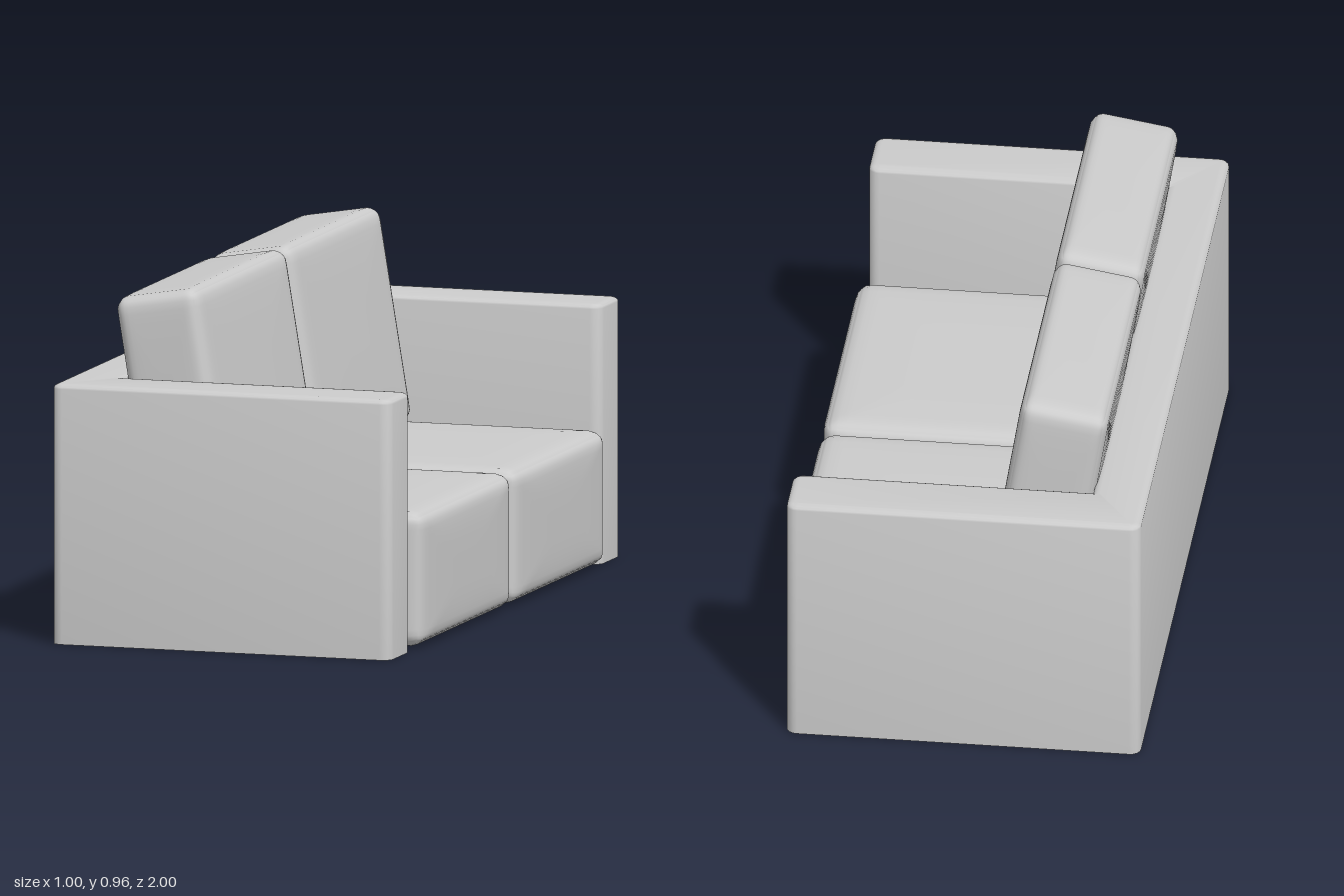
import * as THREE from 'three';
import { mergeVertices, toCreasedNormals } from 'three/addons/utils/BufferGeometryUtils.js';

const material = new THREE.MeshStandardMaterial({ color: 0xcccccc });

function addMesh(parent, name, geometry) {
  const mesh = new THREE.Mesh(geometry, material);
  mesh.name = name;
  parent.add(mesh);
  return mesh;
}

// Soft box: rounded edges of radius r, faces swelling by `bulge` towards their middles
function cushionGeometry(w, h, d, r, bulge) {
  const geo = new THREE.BoxGeometry(2, 2, 2, 22, 22, 22);
  geo.deleteAttribute('uv');
  geo.deleteAttribute('normal');
  const half = new THREE.Vector3(w / 2, h / 2, d / 2);
  const core = half.clone().subScalar(r);
  const low = core.clone().negate();
  const pos = geo.attributes.position;
  const u = new THREE.Vector3();
  for (let i = 0; i < pos.count; i++) {
    u.fromBufferAttribute(pos, i);
    // crowd the grid towards the edges
    u.set(...u.toArray().map((c) => Math.sin((c * Math.PI) / 2)));
    const p = u.clone().multiply(half);
    const inner = p.clone().clamp(low, core);
    p.sub(inner).normalize().multiplyScalar(r).add(inner);
    // sink the borders of each face
    const q = u.clone().multiply(u).multiply(u).multiply(u);
    p.x -= u.x * bulge * Math.max(q.y, q.z);
    p.y -= u.y * bulge * Math.max(q.x, q.z);
    p.z -= u.z * bulge * Math.max(q.x, q.y);
    pos.setXYZ(i, p.x, p.y, p.z);
  }
  const merged = mergeVertices(geo, 1e-5);
  merged.computeVertexNormals();
  return merged;
}

// U-shaped plan with rounded corners, extruded upwards
function frameGeometry() {
  const bevel = 0.02, lift = 0.013, height = 0.712, round = 0.012;
  const back = -0.5 + bevel, front = 0.466 - bevel;
  const outer = 1 - bevel, inner = 0.82 + bevel, innerBack = -0.35 - bevel;
  const corners = [
    [back, -outer], [front, -outer], [front, -inner], [innerBack, -inner],
    [innerBack, inner], [front, inner], [front, outer], [back, outer],
  ].map(([x, y]) => new THREE.Vector2(x, y));
  const shape = new THREE.Shape();
  corners.forEach((c, i) => {
    const prev = corners[(i + 7) % 8], next = corners[(i + 1) % 8];
    const a = c.clone().add(prev.clone().sub(c).setLength(round));
    const b = c.clone().add(next.clone().sub(c).setLength(round));
    if (i === 0) shape.moveTo(a.x, a.y);
    else shape.lineTo(a.x, a.y);
    shape.quadraticCurveTo(c.x, c.y, b.x, b.y);
  });
  shape.closePath();
  const geo = new THREE.ExtrudeGeometry(shape, {
    depth: height - 2 * lift, bevelEnabled: true, bevelSize: bevel,
    bevelThickness: lift, bevelSegments: 4, curveSegments: 4,
  });
  geo.rotateX(-Math.PI / 2).translate(0, lift, 0);
  // flatten the lower bevel so the base edge is crisp
  const pos = geo.attributes.position;
  for (let i = 0; i < pos.count; i++) {
    if (pos.getY(i) < lift + 1e-4) pos.setY(i, 0);
  }
  geo.deleteAttribute('uv');
  geo.deleteAttribute('normal');
  return toCreasedNormals(geo, 0.7);
}

export function createModel() {
  const sofa = new THREE.Group();
  sofa.name = 'sofa';

  // Arms and back panel in one piece
  addMesh(sofa, 'frame', frameGeometry());

  // Two seat cushions and two leaning back cushions
  const width = 0.812;
  const seat = cushionGeometry(0.853, 0.382, width, 0.035, 0.01);
  const backrest = cushionGeometry(0.25, 0.6, width, 0.035, 0.006);
  for (const [side, s] of [['left', 1], ['right', -1]]) {
    const z = (s * width) / 2;
    addMesh(sofa, side + 'SeatCushion', seat).position.set(0.071, 0.191, z);
    const cushion = addMesh(sofa, side + 'BackCushion', backrest);
    cushion.position.set(-0.223, 0.649, z);
    cushion.rotation.z = THREE.MathUtils.degToRad(9.3);
  }
  return sofa;
}
